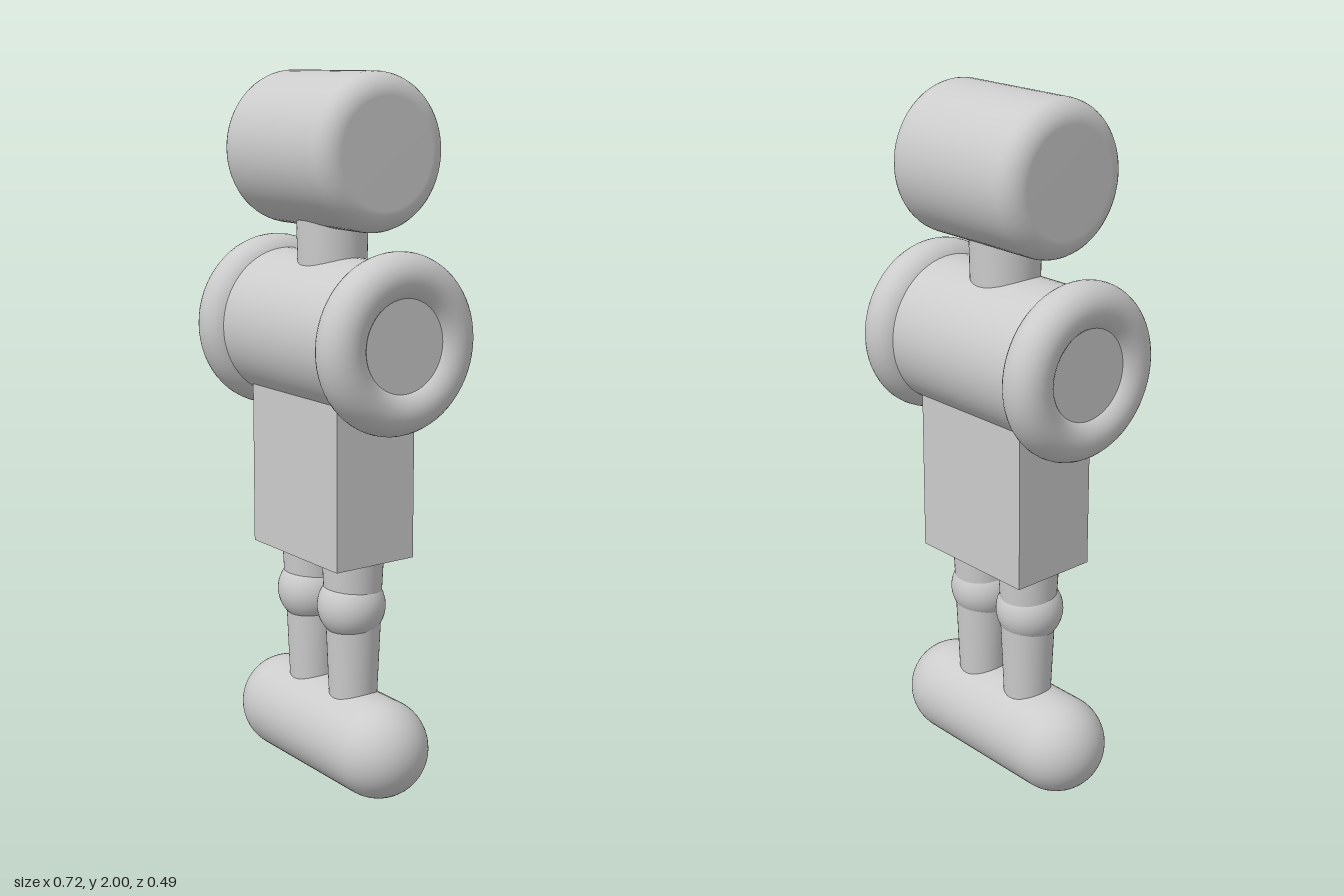
import * as THREE from 'three';

const material = new THREE.MeshStandardMaterial({ color: 0xcccccc, roughness: 0.7 });

export function createModel() {
  const model = new THREE.Group();
  model.name = 'figure';

  const add = (name, geometry, x, y, z = 0, parent = model) => {
    const mesh = new THREE.Mesh(geometry, material);
    mesh.name = name;
    mesh.position.set(x, y, z);
    parent.add(mesh);
    return mesh;
  };

  // Solid of revolution along x with rounded rims
  const roundedDrum = (radius, half, bevel, steps = 8) => {
    const points = [new THREE.Vector2(0, -half)];
    for (const side of [-1, 1]) {
      for (let i = 0; i <= steps; i++) {
        const t = (i / steps) * Math.PI / 2;
        const a = side < 0 ? t - Math.PI / 2 : t;
        points.push(new THREE.Vector2(
          radius - bevel + bevel * Math.cos(a),
          side * (half - bevel) + bevel * Math.sin(a)));
      }
    }
    points.push(new THREE.Vector2(0, half));
    return new THREE.LatheGeometry(points, 64).rotateZ(Math.PI / 2);
  };

  // Head and neck
  add('head', roundedDrum(0.21, 0.246, 0.062), 0, 1.79);
  add('neck', new THREE.CylinderGeometry(0.1, 0.094, 0.3, 48), 0, 1.53);

  // Chest barrel, its ends showing through the shoulder rings
  add('chest', new THREE.CylinderGeometry(0.211, 0.211, 0.65, 64).rotateZ(Math.PI / 2), 0, 1.295);

  // Abdomen block
  add('abdomen', new THREE.BoxGeometry(0.405, 0.55, 0.262), 0, 0.945);

  // Shoulder rings and legs, mirrored
  for (const [side, label] of [[1, 'left'], [-1, 'right']]) {
    add(label + 'ShoulderRing', new THREE.TorusGeometry(0.18, 0.066, 32, 64).rotateY(Math.PI / 2), side * 0.286, 1.295);

    const leg = new THREE.Group();
    leg.name = label + 'Leg';
    leg.position.x = side * 0.098;
    add('thigh', new THREE.CylinderGeometry(0.09, 0.08, 0.2, 40), 0, 0.63, 0, leg);
    add('knee', new THREE.SphereGeometry(0.097, 40, 28), 0, 0.53, 0.005, leg);
    add('shin', new THREE.CylinderGeometry(0.08, 0.066, 0.33, 40), 0, 0.365, -0.002, leg);
    model.add(leg);
  }

  // Single foot bar
  add('footBar', new THREE.CapsuleGeometry(0.141, 0.44, 20, 48).rotateZ(Math.PI / 2), 0, 0.141);

  return model;
}
